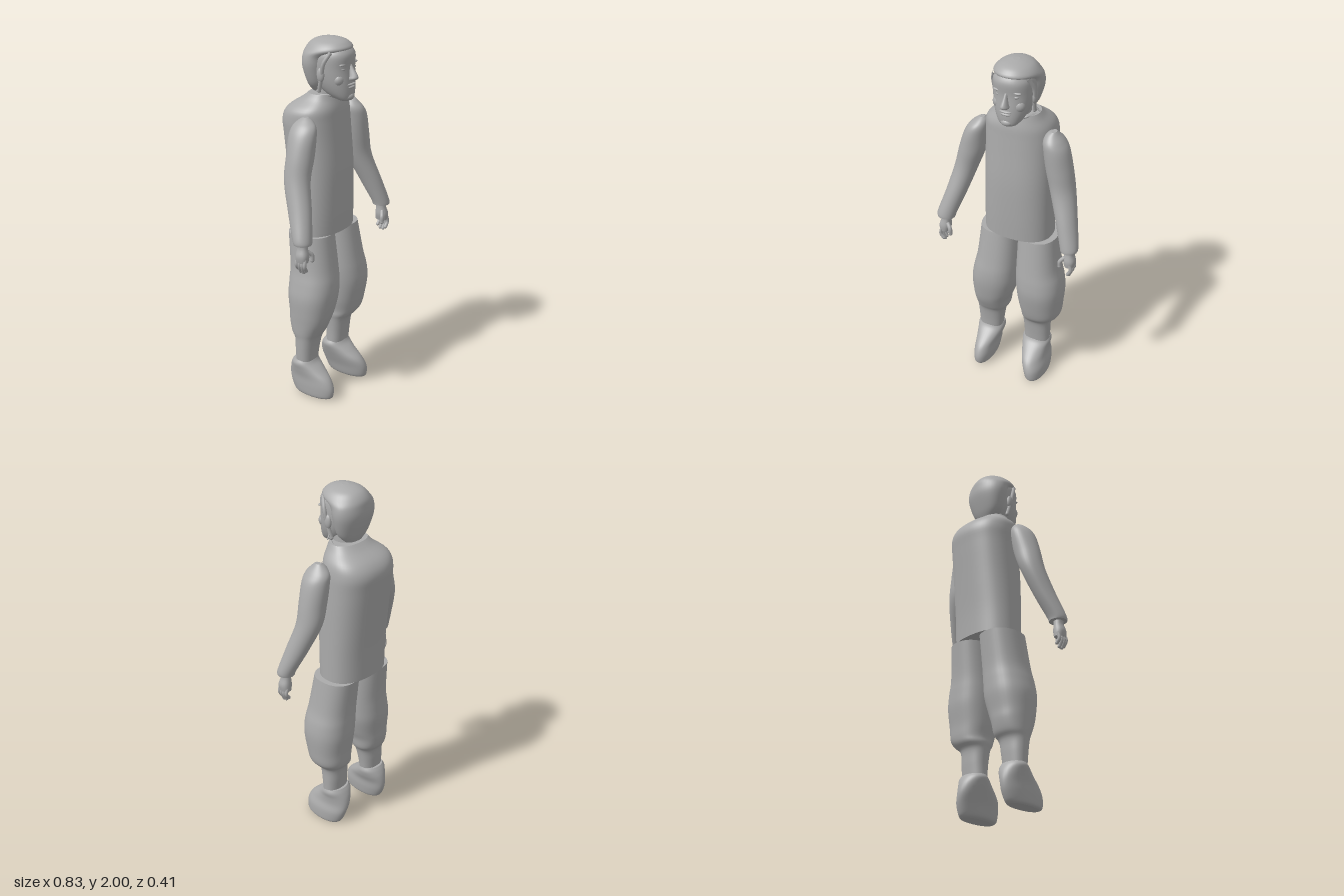
import * as THREE from 'three';

const grey = new THREE.MeshStandardMaterial({ color: 0xaaaaaa });
grey.name = 'plain grey';

// Smooth loft through horizontal slices [y, xMin, xMax, zMin, zMax], listed bottom to top
function loft(slices, power = 2, steps = 5, seg = 36) {
  const rings = [];
  const n = slices.length;
  for (let i = 0; i < n - 1; i++) {
    const p = [slices[Math.max(i - 1, 0)], slices[i], slices[i + 1], slices[Math.min(i + 2, n - 1)]];
    for (let s = 0; s < steps; s++) {
      const t = s / steps;
      rings.push(p[1].map((v, k) => {
        const m0 = (p[2][k] - p[0][k]) / 2, m1 = (p[3][k] - v) / 2, d = p[2][k] - v;
        return v + t * m0 + t * t * (3 * d - 2 * m0 - m1) + t * t * t * (m0 + m1 - 2 * d);
      }));
    }
  }
  rings.push(slices[n - 1]);

  const pos = [], idx = [];
  const addRing = ([y, x0, x1, z0, z1]) => {
    for (let j = 0; j < seg; j++) {
      const a = (j / seg) * Math.PI * 2, c = Math.cos(a), s = Math.sin(a);
      const cx = Math.sign(c) * Math.abs(c) ** (2 / power), cz = Math.sign(s) * Math.abs(s) ** (2 / power);
      pos.push((x0 + x1) / 2 + cx * (x1 - x0) / 2, y, (z0 + z1) / 2 + cz * (z1 - z0) / 2);
    }
  };
  rings.forEach(addRing);
  for (let i = 0; i < rings.length - 1; i++) {
    for (let j = 0; j < seg; j++) {
      const a = i * seg + j, b = i * seg + (j + 1) % seg;
      idx.push(a, a + seg, b, b, a + seg, b + seg);
    }
  }
  // End caps with their own vertices keep the rims sharp
  [[rings[0], false], [rings[rings.length - 1], true]].forEach(([r, up]) => {
    const base = pos.length / 3;
    addRing(r);
    pos.push((r[1] + r[2]) / 2, r[0], (r[3] + r[4]) / 2);
    for (let j = 0; j < seg; j++) {
      const a = base + j, b = base + (j + 1) % seg;
      idx.push(base + seg, up ? b : a, up ? a : b);
    }
  });
  const g = new THREE.BufferGeometry();
  g.setAttribute('position', new THREE.Float32BufferAttribute(pos, 3));
  g.setIndex(idx);
  g.computeVertexNormals();
  return g;
}

function add(parent, name, geometry) {
  const mesh = new THREE.Mesh(geometry, grey);
  mesh.name = name;
  parent.add(mesh);
  return mesh;
}

function ball(parent, name, x, y, z, rx, ry, rz) {
  const m = add(parent, name, new THREE.SphereGeometry(1, 20, 14));
  m.position.set(x, y, z);
  m.scale.set(rx, ry, rz);
  return m;
}

function tube(parent, name, points, radius) {
  const curve = new THREE.CatmullRomCurve3(points.map((p) => new THREE.Vector3(...p)));
  add(parent, name, new THREE.TubeGeometry(curve, 10, radius, 8));
  const [x, y, z] = points[points.length - 1];
  ball(parent, name + 'Tip', x, y, z, radius, radius, radius);
}

function group(parent, name) {
  const g = new THREE.Group();
  g.name = name;
  parent.add(g);
  return g;
}

function buildHead(parent) {
  const head = group(parent, 'head');
  add(head, 'neck', loft([[1.6, -0.06, 0.09, -0.05, 0.08], [1.78, -0.055, 0.085, -0.04, 0.1]]));
  add(head, 'face', loft([
    [1.678, -0.01, 0.04, 0.11, 0.15], [1.69, -0.035, 0.065, 0.08, 0.165], [1.725, -0.062, 0.09, 0.01, 0.17],
    [1.78, -0.083, 0.11, -0.04, 0.168], [1.85, -0.093, 0.12, -0.07, 0.162], [1.92, -0.09, 0.116, -0.07, 0.165],
    [1.96, -0.06, 0.09, -0.05, 0.14],
  ], 2.3));
  add(head, 'hair', loft([
    [1.715, -0.04, 0.07, -0.055, 0.0], [1.76, -0.085, 0.11, -0.075, 0.04], [1.85, -0.114, 0.138, -0.1, 0.055],
    [1.91, -0.114, 0.138, -0.1, 0.075], [1.945, -0.102, 0.126, -0.092, 0.15], [1.975, -0.075, 0.1, -0.067, 0.135],
    [1.992, -0.04, 0.065, -0.03, 0.1], [2.0, -0.005, 0.03, 0.015, 0.05],
  ], 2.1));
  // Nose, lips and chin
  add(head, 'nose', loft([
    [1.79, -0.004, 0.034, 0.15, 0.185], [1.8, -0.008, 0.038, 0.145, 0.203], [1.815, -0.003, 0.033, 0.145, 0.203],
    [1.845, 0.004, 0.026, 0.14, 0.182], [1.87, 0.007, 0.023, 0.14, 0.165],
  ], 2, 4, 16));
  ball(head, 'upperLip', 0.015, 1.768, 0.165, 0.034, 0.007, 0.013);
  ball(head, 'lowerLip', 0.015, 1.753, 0.163, 0.029, 0.008, 0.014);
  ball(head, 'chin', 0.015, 1.702, 0.15, 0.034, 0.022, 0.026);
  for (const s of [-1, 1]) {
    ball(head, 'eye', 0.015 + s * 0.045, 1.85, 0.142, 0.019, 0.01, 0.014);
    ball(head, 'brow', 0.015 + s * 0.047, 1.874, 0.146, 0.03, 0.007, 0.012);
    ball(head, 'cheek', 0.015 + s * 0.053, 1.795, 0.125, 0.035, 0.035, 0.03);
    ball(head, 'ear', 0.013 + s * 0.108, 1.82, 0.05, 0.014, 0.038, 0.022);
    tube(head, 'hairLock', [[0.013 + s * 0.09, 1.94, 0.1], [0.013 + s * 0.112, 1.88, 0.07],
      [0.013 + s * 0.108, 1.81, 0.055], [0.013 + s * 0.1, 1.735, 0.035]], 0.011);
  }
  tube(head, 'looseStrand', [[0.1, 1.79, 0.05], [0.118, 1.76, 0.04], [0.14, 1.735, 0.035]], 0.004);
}

// Hand hanging under a sleeve; side is +1 for the model's left
function buildHand(parent, side) {
  const hand = group(parent, side > 0 ? 'leftHand' : 'rightHand');
  const at = (x, y, z) => [side * x, y, z];
  const span = (x0, x1) => (side > 0 ? [x0, x1] : [-x1, -x0]);
  add(hand, 'palm', loft([
    [0.905, ...span(0.345, 0.398), 0.1, 0.168], [0.94, ...span(0.338, 0.402), 0.1, 0.17],
    [0.98, ...span(0.342, 0.39), 0.105, 0.16], [1.02, ...span(0.34, 0.39), 0.11, 0.155],
  ], 2.4, 4, 20));
  [0.108, 0.126, 0.144, 0.16].forEach((z, i) => {
    const drop = [0.865, 0.85, 0.848, 0.86][i];
    tube(hand, 'finger', [at(0.38, 0.925, z), at(0.388, 0.888, z + 0.002), at(0.372, drop, z)], 0.0098);
  });
  tube(hand, 'thumb', [at(0.35, 0.96, 0.15), at(0.328, 0.935, 0.165), at(0.326, 0.905, 0.165)], 0.0115);
}

export function createModel() {
  const model = new THREE.Group();
  model.name = 'standingFigure';

  buildHead(model);

  // Torso with sloping shoulders and rounded upper back
  add(model, 'torso', loft([
    [0.95, -0.18, 0.203, -0.15, 0.12], [1.1, -0.18, 0.203, -0.158, 0.125], [1.3, -0.18, 0.202, -0.178, 0.125],
    [1.48, -0.182, 0.2, -0.198, 0.112], [1.57, -0.184, 0.198, -0.205, 0.105], [1.63, -0.172, 0.185, -0.175, 0.1],
    [1.68, -0.115, 0.15, -0.105, 0.088], [1.71, -0.092, 0.132, -0.07, 0.08],
  ], 2.4, 5, 48));
  // Collar edges meeting in a small V
  for (const s of [-1, 1]) {
    tube(model, 'collarEdge', [[0.02 + s * 0.1, 1.705, 0.02], [0.02 + s * 0.065, 1.705, 0.07], [0.02, 1.675, 0.088]], 0.007);
  }

  // Sleeves bend forward at the elbow
  add(model, 'rightSleeve', loft([
    [1.0, -0.412, -0.313, 0.085, 0.18], [1.03, -0.412, -0.305, 0.075, 0.177], [1.15, -0.378, -0.263, 0.02, 0.148],
    [1.3, -0.343, -0.215, -0.035, 0.108], [1.42, -0.316, -0.172, -0.045, 0.105], [1.52, -0.284, -0.158, -0.05, 0.105],
    [1.57, -0.255, -0.155, -0.04, 0.095], [1.6, -0.222, -0.16, -0.015, 0.065], [1.615, -0.2, -0.175, 0.01, 0.04],
  ]));
  add(model, 'leftSleeve', loft([
    [1.0, 0.318, 0.41, 0.085, 0.18], [1.03, 0.31, 0.41, 0.075, 0.177], [1.15, 0.268, 0.382, 0.02, 0.148],
    [1.3, 0.212, 0.348, -0.035, 0.108], [1.42, 0.183, 0.328, -0.045, 0.105], [1.53, 0.168, 0.303, -0.05, 0.105],
    [1.58, 0.165, 0.276, -0.045, 0.095], [1.615, 0.18, 0.246, -0.015, 0.065], [1.632, 0.205, 0.232, 0.005, 0.045],
  ]));
  buildHand(model, 1);
  buildHand(model, -1);

  // Baggy trousers gathered below the knee
  add(model, 'rightTrouserLeg', loft([
    [0.21, -0.228, -0.092, -0.045, 0.055], [0.28, -0.232, -0.082, -0.05, 0.062], [0.35, -0.235, -0.068, -0.055, 0.075],
    [0.39, -0.24, -0.046, -0.08, 0.095], [0.45, -0.244, -0.035, -0.095, 0.122], [0.51, -0.248, -0.012, -0.1, 0.138],
    [0.6, -0.25, 0.012, -0.113, 0.152], [0.68, -0.236, 0.018, -0.115, 0.152], [0.77, -0.218, 0.02, -0.117, 0.138],
    [0.95, -0.203, 0.02, -0.135, 0.11],
  ], 2.3));
  add(model, 'leftTrouserLeg', loft([
    [0.21, 0.057, 0.205, -0.045, 0.055], [0.28, 0.056, 0.208, -0.05, 0.062], [0.36, 0.05, 0.214, -0.056, 0.075],
    [0.395, 0.045, 0.245, -0.085, 0.1], [0.43, 0.047, 0.27, -0.095, 0.12], [0.5, 0.035, 0.28, -0.1, 0.138],
    [0.6, 0.025, 0.288, -0.113, 0.155], [0.68, 0.02, 0.28, -0.115, 0.152], [0.77, 0.02, 0.258, -0.117, 0.138],
    [0.95, 0.02, 0.236, -0.135, 0.11],
  ], 2.3));

  // Soft shoes
  add(model, 'rightShoe', loft([
    [0.008, -0.21, -0.122, -0.05, 0.165], [0.022, -0.221, -0.115, -0.068, 0.182], [0.07, -0.225, -0.108, -0.09, 0.185],
    [0.12, -0.226, -0.105, -0.097, 0.162], [0.165, -0.234, -0.09, -0.09, 0.112], [0.2, -0.24, -0.083, -0.075, 0.07],
    [0.222, -0.23, -0.09, -0.06, 0.055],
  ], 2.1));
  add(model, 'leftShoe', loft([
    [0, 0.12, 0.212, -0.05, 0.165], [0.015, 0.103, 0.218, -0.068, 0.182], [0.07, 0.088, 0.218, -0.09, 0.185],
    [0.12, 0.07, 0.206, -0.097, 0.162], [0.165, 0.054, 0.206, -0.09, 0.112], [0.2, 0.045, 0.212, -0.075, 0.07],
    [0.222, 0.055, 0.205, -0.06, 0.055],
  ], 2.1));

  return model;
}
